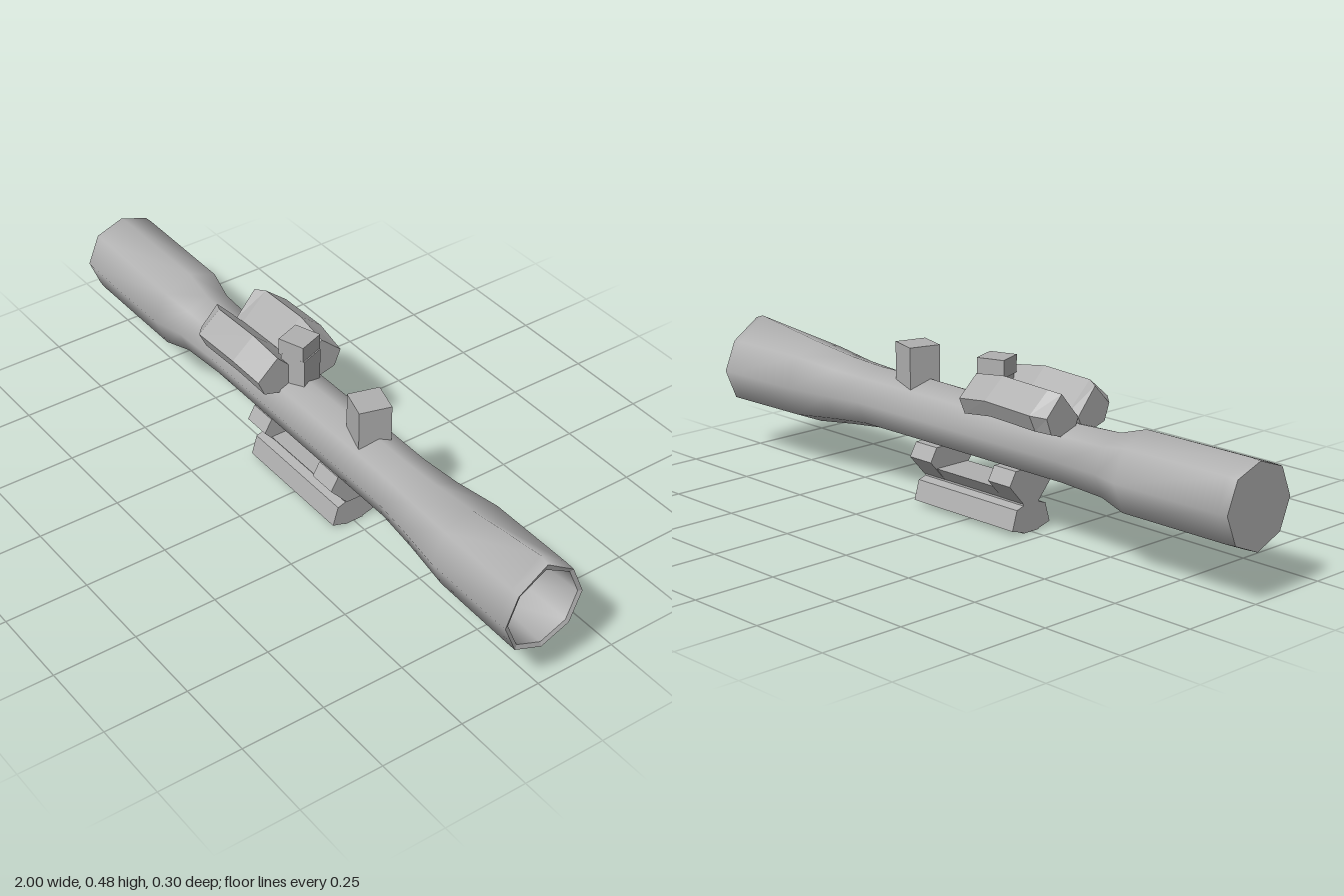
import * as THREE from 'three';

const SIDES = 8;

// Skin a row of sections; each section is a list of [x, y, z], running from +y towards +z.
function loft(sections, { flat = false, capStart = false, capEnd = false } = {}) {
  const n = sections[0].length;
  const index = [];
  for (let i = 0; i < sections.length - 1; i++) {
    for (let j = 0; j < n; j++) {
      const k = (j + 1) % n;
      const a = i * n + j, b = i * n + k, c = a + n, d = b + n;
      index.push(a, b, c, b, d, c);
    }
  }
  const last = (sections.length - 1) * n;
  for (let j = 1; j < n - 1; j++) {
    if (capStart) index.push(0, j + 1, j);
    if (capEnd) index.push(last, last + j, last + j + 1);
  }
  let geo = new THREE.BufferGeometry();
  geo.setAttribute('position', new THREE.Float32BufferAttribute(sections.flat(2), 3));
  geo.setIndex(index);
  if (flat) geo = geo.toNonIndexed();
  geo.computeVertexNormals();
  return geo;
}

// Eight-sided tube section with its own bottom, half width and peak height.
function ring([x, bottom, half, peak]) {
  const cy = bottom + half;
  return Array.from({ length: SIDES }, (_, j) => {
    const a = (j / SIDES) * Math.PI * 2;
    return [x, j === 0 ? peak : cy + half * Math.cos(a), half * Math.sin(a)];
  });
}

// Prism along x from a [z, y] outline, optionally mirrored to the other side.
function prism(x0, x1, outline, side = 1) {
  const pts = side > 0 ? outline : [...outline].reverse();
  const at = (x) => pts.map(([z, y]) => [x, y, z * side]);
  return loft([at(x0), at(x1)], { flat: true, capStart: true, capEnd: true });
}

export function createModel() {
  const model = new THREE.Group();
  model.name = 'scope';
  const grey = new THREE.MeshStandardMaterial({ color: 0xb0b0b0 });
  grey.name = 'grey metal';

  const add = (name, geo) => {
    const mesh = new THREE.Mesh(geo, grey);
    mesh.name = name;
    model.add(mesh);
    return mesh;
  };

  // Main tube: x, bottom, half width, peak
  const profile = [
    [-1, 0.138, 0.122, 0.377],
    [-0.97, 0.136, 0.124, 0.38],
    [-0.62, 0.136, 0.123, 0.38],
    [-0.53, 0.16, 0.098, 0.352],
    [-0.38, 0.168, 0.091, 0.345],
    [0.2, 0.17, 0.094, 0.358],
    [0.42, 0.17, 0.094, 0.355],
    [0.55, 0.155, 0.105, 0.362],
    [0.7, 0.134, 0.125, 0.378],
    [0.97, 0.13, 0.127, 0.415],
    [1, 0.13, 0.126, 0.405],
  ];
  const tube = profile.map(ring);
  add('tube', loft(tube));

  // Closed rear end
  add('eyepieceCap', loft([tube[0], tube[0].map(([, y, z]) => [-0.999, y, z])], { flat: true, capStart: true }));

  // Open front end: rim, inner wall and recessed lens
  const mouth = ring([0.995, 0.143, 0.114, 0.385]);
  const back = ring([0.82, 0.155, 0.103, 0.36]);
  add('rim', loft([tube[tube.length - 1], mouth], { flat: true }));
  add('innerWall', loft([mouth, back]));
  add('lens', loft([back.map(([x, y, z]) => [x - 0.005, y, z]), back], { flat: true, capEnd: true }));

  // Faceted side housings straddling the tube
  for (const side of [1, -1]) {
    const outline = [[0, 0.375], [0.08, 0.45], [0.15, 0.392], [0.128, 0.345], [0.03, 0.32]];
    const stations = [
      [-0.375, 0.8, -0.012],
      [-0.34, 1, -0.004],
      [-0.17, 1, 0.003],
      [-0.06, 0.93, -0.012],
    ];
    const sections = stations.map(([x, w, lift]) => {
      const pts = outline.map(([z, y]) => [x, y + lift, z * w * side]);
      return side > 0 ? pts : pts.reverse();
    });
    add(side > 0 ? 'leftHousing' : 'rightHousing',
      loft(sections, { flat: true, capStart: true, capEnd: true }));
  }

  // Two adjustment turrets
  const block = (name, x, y0, y1, w, turn) => {
    const mesh = add(name, new THREE.BoxGeometry(w, y1 - y0, w));
    mesh.position.set(x, (y0 + y1) / 2, -0.003);
    mesh.rotation.y = turn;
    return mesh;
  };
  block('rearTurretNeck', -0.06, 0.32, 0.43, 0.078, 0.35);
  block('rearTurretCap', -0.066, 0.425, 0.476, 0.082, 0.35);
  block('frontTurret', 0.258, 0.32, 0.455, 0.094, -0.28);

  // Mount: two posts under the tube, a bridge and a centre bar
  const post = [[-0.06, 0.185], [0.06, 0.185], [0.083, 0.145], [0.03, 0.085], [-0.03, 0.085], [-0.083, 0.145]];
  add('rearPost', prism(-0.2, -0.115, post));
  add('frontPost', prism(0.118, 0.205, post));
  add('bridge', prism(-0.2, 0.205, [[-0.06, 0.123], [0.06, 0.123], [0.028, 0.083], [-0.028, 0.083]]));
  add('centreBar', prism(-0.2, 0.2, [[-0.03, 0.09], [0.03, 0.09], [0.03, 0], [-0.03, 0]]));

  // Flared clamp jaws along both sides of the bar
  for (const side of [1, -1]) {
    const jaw = [[0.02, 0.083], [0.055, 0.072], [0.072, 0.015], [0.03, 0.003], [0.02, 0.003]];
    add(side > 0 ? 'leftJaw' : 'rightJaw', prism(-0.2, 0.2, jaw, side));
  }

  return model;
}
